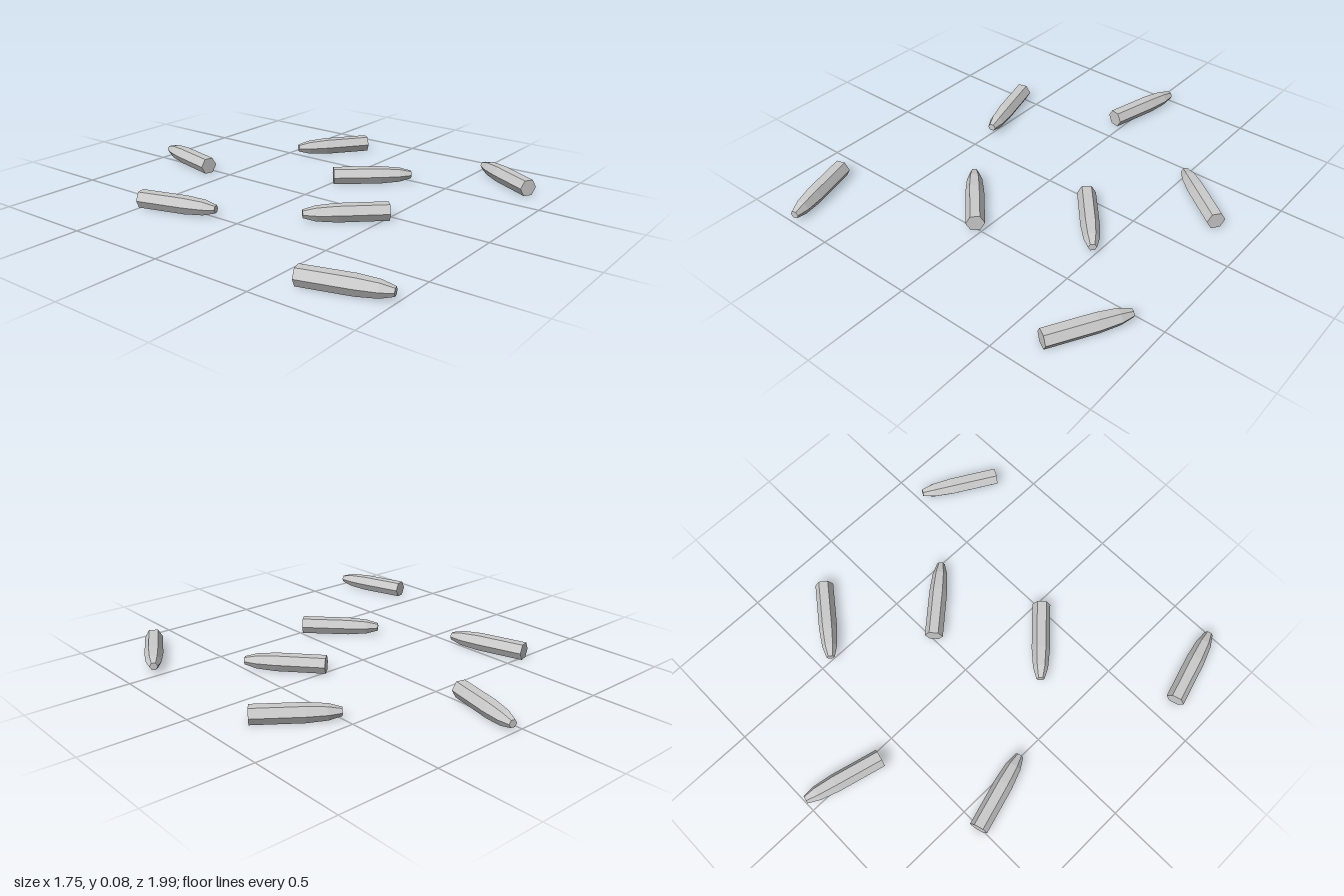
import * as THREE from 'three';

const LENGTH = 0.397;
const RADIUS = 0.045;

// Six-sided slug along +z: straight body, two-step tapered nose, flat ends
function slugGeometry() {
  const h = LENGTH / 2;
  const profile = [
    [0, -h], [RADIUS, -h], [RADIUS, 0.24 - h], [0.037, 0.337 - h], [0.02, h], [0, h],
  ].map(([r, y]) => new THREE.Vector2(r, y));
  // Corners at the sides, so a flat faces up and down
  const geometry = new THREE.LatheGeometry(profile, 6, Math.PI / 2);
  geometry.rotateX(Math.PI / 2);
  return geometry;
}

export function createModel() {
  const group = new THREE.Group();
  group.name = 'scatteredSlugs';
  const geometry = slugGeometry();
  const material = new THREE.MeshStandardMaterial({ color: 0xcccccc, flatShading: true });

  // Base x, z and tip x, z of every slug on the ground
  const layout = [
    [-0.043, -0.61, 0.053, -0.991],
    [-0.607, -0.513, -0.497, -0.129],
    [0.822, -0.198, 0.501, -0.439],
    [0.23, 0.005, 0.488, 0.303],
    [-0.028, 0.507, -0.299, 0.219],
    [-0.832, 0.606, -0.721, 0.988],
    [0.658, 0.872, 0.859, 0.522],
  ];
  layout.forEach(([bx, bz, tx, tz], i) => {
    const slug = new THREE.Mesh(geometry, material);
    slug.name = `slug${i + 1}`;
    slug.position.set((bx + tx) / 2, RADIUS, (bz + tz) / 2);
    slug.rotation.y = Math.atan2(tx - bx, tz - bz);
    group.add(slug);
  });
  return group;
}
